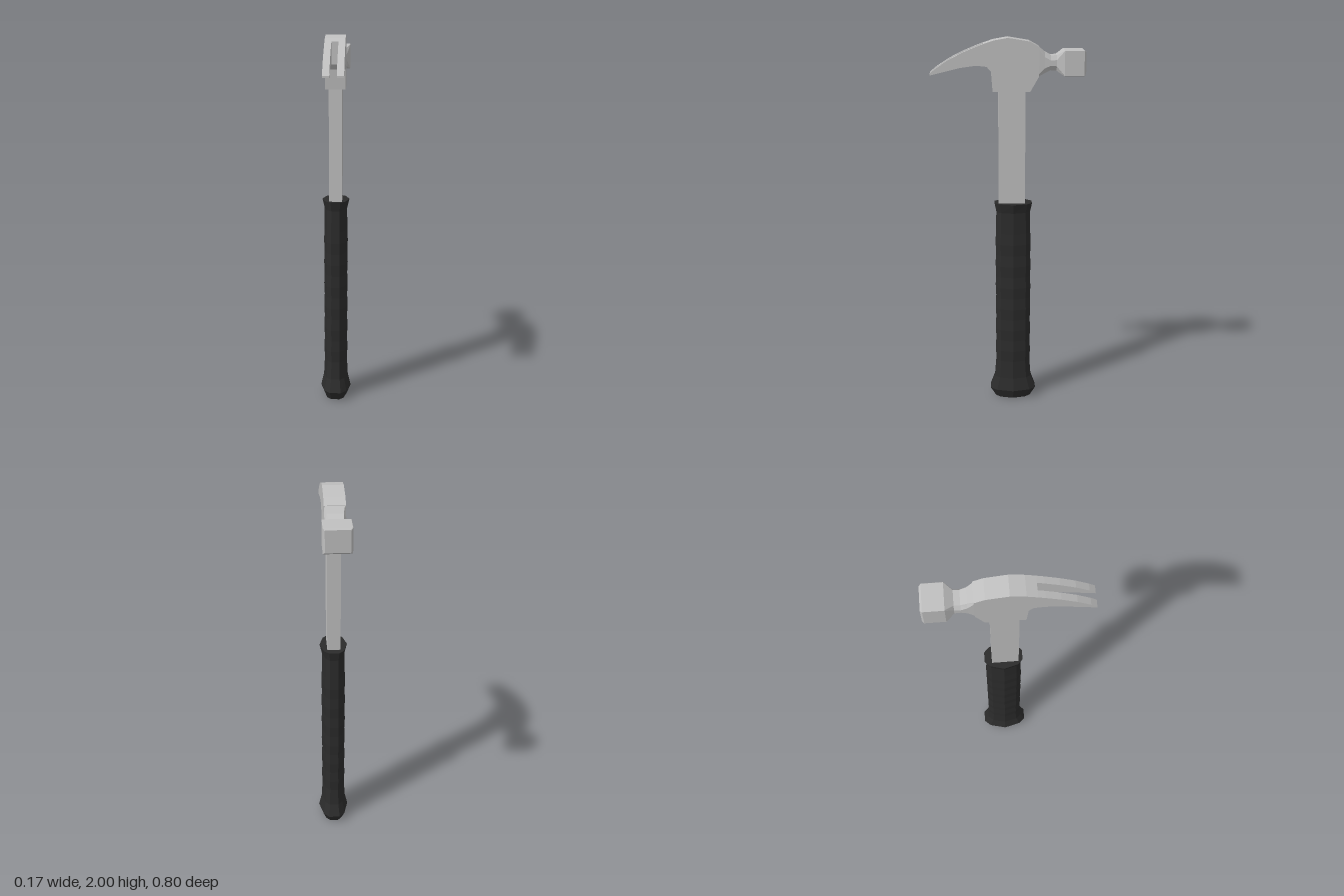
import * as THREE from 'three';

const steel = new THREE.MeshStandardMaterial({ color: 0xc0c0c0, flatShading: true });
steel.name = 'steel';
const rubber = new THREE.MeshStandardMaterial({ color: 0x2c2c2c, flatShading: true });
rubber.name = 'black rubber';

// Skin a list of equal-length rings, with both ends closed.
function loft(rings) {
  const n = rings[0].length, pos = [], idx = [];
  rings.forEach(r => r.forEach(p => pos.push(...p)));
  for (let i = 0; i < rings.length - 1; i++) {
    for (let j = 0; j < n; j++) {
      const a = i * n + j, b = i * n + (j + 1) % n;
      idx.push(a, b, b + n, a, b + n, a + n);
    }
  }
  const last = (rings.length - 1) * n;
  for (let j = 1; j < n - 1; j++) {
    idx.push(0, j + 1, j, last, last + j, last + j + 1);
  }
  const g = new THREE.BufferGeometry();
  g.setAttribute('position', new THREE.Float32BufferAttribute(pos, 3));
  g.setIndex(idx);
  const flat = g.toNonIndexed();
  flat.computeVertexNormals();
  return flat;
}

// Extrude a [z, y] side outline across x, centred on the given x.
function sidePlate(points, width, x = 0) {
  const shape = new THREE.Shape(points.map(p => new THREE.Vector2(...p)));
  const g = new THREE.ExtrudeGeometry(shape, { depth: width, bevelEnabled: false });
  g.translate(0, 0, -width / 2);
  g.rotateY(-Math.PI / 2);
  g.translate(x, 0, 0);
  return g;
}

// Ten-sided grip section: pointed flanks, chamfered front and back.
function gripRing([y, hx, hz]) {
  const q = [[1, 0], [0.73, 0.73], [0.36, 1]];
  const pts = [
    q[0], q[1], q[2], [-q[2][0], 1], [-q[1][0], q[1][1]],
    [-1, 0], [-q[1][0], -q[1][1]], [-q[2][0], -1], [q[2][0], -1], [q[1][0], -q[1][1]],
  ];
  return pts.map(([u, v]) => [u * hx, y, -0.03 - v * hz]);
}

// Chamfered rectangular section of the neck and striking block.
function neckRing([z, hx, y0, y1, cx, cy]) {
  const c = (y0 + y1) / 2, hy = (y1 - y0) / 2;
  const pts = [
    [hx, -hy + cy], [hx, hy - cy], [hx - cx, hy], [-hx + cx, hy],
    [-hx, hy - cy], [-hx, -hy + cy], [-hx + cx, -hy], [hx - cx, -hy],
  ];
  return pts.map(([u, v]) => [-u, c + v, z]);
}

export function createModel() {
  const group = new THREE.Group();
  group.name = 'clawHammer';
  const add = (name, geometry, material) => {
    const mesh = new THREE.Mesh(geometry, material);
    mesh.name = name;
    group.add(mesh);
  };

  // Grip: flared butt, gently rippled body, flared collar
  const profile = [[0, 0.063, 0.095], [0.05, 0.083, 0.125], [0.12, 0.067, 0.1]];
  for (let i = 0; i <= 12; i++) {
    const bump = i % 2 ? 0.003 : 0;
    profile.push([0.22 + i * 0.062, 0.062 + bump, 0.092 + bump]);
  }
  profile.push([1.08, 0.061, 0.09], [1.13, 0.073, 0.1]);
  add('grip', loft(profile.map(gripRing)), rubber);

  // Shaft
  const shaft = new THREE.BoxGeometry(0.07, 0.65, 0.14);
  shaft.translate(0, 1.425, -0.022);
  add('shaft', shaft, steel);

  // Head body
  add('headBody', sidePlate([
    [0.125, 1.97], [0.074, 1.987], [0, 2], [-0.11, 1.982], [-0.16, 1.955],
    [-0.16, 1.805], [-0.115, 1.727], [0.078, 1.727], [0.086, 1.83],
    [0.108, 1.855], [0.125, 1.858],
  ], 0.106), steel);

  // Two claw prongs either side of the slot
  const prong = [
    [0.125, 1.97], [0.125, 1.858], [0.165, 1.861], [0.245, 1.85], [0.32, 1.832],
    [0.4, 1.812], [0.4, 1.822], [0.37, 1.847], [0.305, 1.89], [0.23, 1.928], [0.16, 1.957],
  ];
  for (const [side, name] of [[1, 'leftClaw'], [-1, 'rightClaw']]) {
    add(name, sidePlate(prong, 0.035, side * 0.0355), steel);
  }

  // Neck and striking block
  add('neckAndFace', loft([
    [-0.155, 0.053, 1.803, 1.957, 0.004, 0.01],
    [-0.19, 0.052, 1.822, 1.927, 0.012, 0.025],
    [-0.22, 0.052, 1.836, 1.911, 0.014, 0.024],
    [-0.25, 0.052, 1.833, 1.912, 0.014, 0.024],
    [-0.29, 0.07, 1.808, 1.938, 0.002, 0.002],
    [-0.39, 0.07, 1.808, 1.938, 0.002, 0.002],
    [-0.4, 0.061, 1.817, 1.929, 0.002, 0.002],
  ].map(neckRing)), steel);

  return group;
}
